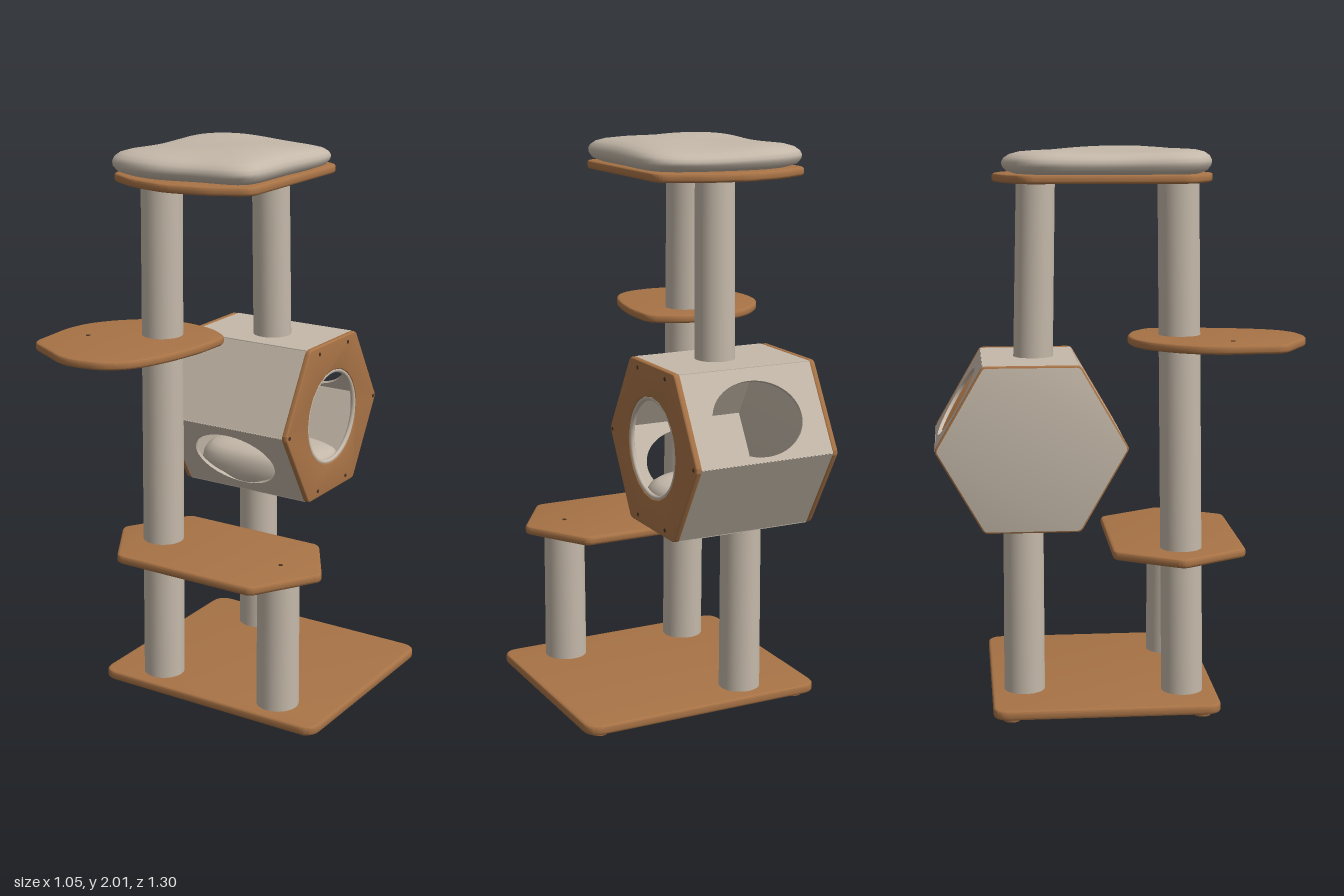
import * as THREE from 'three';
import { toCreasedNormals } from 'three/addons/utils/BufferGeometryUtils.js';

const wood = new THREE.MeshStandardMaterial({ color: 0xa87346 });
wood.name = 'warm wood';
const fabric = new THREE.MeshStandardMaterial({ color: 0xc4b8a9 });
fabric.name = 'beige plush';
const dark = new THREE.MeshStandardMaterial({ color: 0x4a3423 });
dark.name = 'dark screw';

function mesh(name, geometry, material, parent) {
  const m = new THREE.Mesh(geometry, material);
  m.name = name;
  parent.add(m);
  return m;
}

// Polygon with every corner rounded off by up to r
function roundedShape(points, r) {
  const p = points.map(([x, y]) => new THREE.Vector2(x, y));
  const shape = new THREE.Shape();
  p.forEach((c, i) => {
    const toward = (q) => c.clone().lerp(q, Math.min(0.48, r / c.distanceTo(q)));
    const a = toward(p[(i + p.length - 1) % p.length]);
    const b = toward(p[(i + 1) % p.length]);
    if (i === 0) shape.moveTo(a.x, a.y);
    else shape.lineTo(a.x, a.y);
    shape.quadraticCurveTo(c.x, c.y, b.x, b.y);
  });
  shape.closePath();
  return shape;
}

// Softly bevelled sheet of given thickness, from z = 0 upwards
function sheet(shape, thickness, bevel) {
  const geo = new THREE.ExtrudeGeometry(shape, {
    depth: thickness - 2 * bevel, bevelThickness: bevel, bevelSize: bevel,
    bevelOffset: -bevel, bevelSegments: 3, curveSegments: 10,
  });
  return geo.translate(0, 0, bevel);
}

// Horizontal board from an outline of [x, z] pairs
function board(name, outline, y, thickness, r, parent) {
  const geo = sheet(roundedShape(outline.map(([x, z]) => [x, -z]), r), thickness, 0.009);
  geo.rotateX(-Math.PI / 2).translate(0, y, 0);
  return mesh(name, toCreasedNormals(geo, 0.7), wood, parent);
}

// Upright post between two points, with slight lean
function post(name, from, to, r, parent) {
  const a = new THREE.Vector3(...from), b = new THREE.Vector3(...to);
  const dir = b.clone().sub(a);
  const m = mesh(name, new THREE.CylinderGeometry(r * 0.97, r, dir.length(), 32), fabric, parent);
  m.position.copy(a).add(b).multiplyScalar(0.5);
  m.quaternion.setFromUnitVectors(new THREE.Vector3(0, 1, 0), dir.normalize());
}

// Stuffed cushion: stacked rings of a smooth outline, with gentle lumps
function cushion(name, outline, y0, y1, parent) {
  const n = 64;
  const curve = new THREE.CatmullRomCurve3(outline.map(([x, z]) => new THREE.Vector3(x, 0, z)), true);
  const loop = curve.getSpacedPoints(n).slice(0, n);
  const mid = loop.reduce((s, p) => s.add(p), new THREE.Vector3()).divideScalar(n);
  const rings = [[0.001, 0], [0.86, 0], [0.96, 0.14], [0.995, 0.32], [1, 0.48], [0.98, 0.64],
    [0.93, 0.78], [0.84, 0.88], [0.68, 0.94], [0.45, 0.97], [0.2, 0.97], [0.001, 0.97]];
  const pos = [], index = [];
  rings.forEach(([s, h], i) => {
    for (let j = 0; j < n; j++) {
      const x = mid.x + (loop[j].x - mid.x) * s;
      const z = mid.z + (loop[j].z - mid.z) * s;
      const lump = h * (y1 - y0) * 0.09 * (Math.sin(9 * x + 1) * Math.cos(8 * z) + 2 * z);
      pos.push(x, y0 + h * (y1 - y0) + lump, z);
      if (i < rings.length - 1) {
        const k = (j + 1) % n, a = i * n + j, b = i * n + k;
        index.push(a, b, b + n, a, b + n, a + n);
      }
    }
  });
  const geo = new THREE.BufferGeometry();
  geo.setAttribute('position', new THREE.Float32BufferAttribute(pos, 3));
  geo.setIndex(index);
  geo.computeVertexNormals();
  return mesh(name, geo, fabric, parent);
}

// Hexagonal cabin lying along x, local origin at its centre
function buildCabin() {
  const g = new THREE.Group();
  g.name = 'hexagonCabin';
  const R = 0.338, apothem = R * Math.sqrt(3) / 2, t = 0.012;
  const x0 = -0.315, x1 = 0.19, midX = (x0 + x1) / 2;
  const hexagon = () => roundedShape(Array.from({ length: 6 }, (_, i) =>
    [R * Math.cos(i * Math.PI / 3), R * Math.sin(i * Math.PI / 3)]), 0.015);

  // Six wall panels; lower front and upper back have oval openings
  [-150, -90, -30, 30, 90, 150].forEach((deg) => {
    const w = (x1 - x0) / 2, s = R / 2;
    const shape = new THREE.Shape([[-w, -s], [w, -s], [w, s], [-w, s]].map((p) => new THREE.Vector2(...p)));
    if (deg === -30 || deg === 150) {
      const hole = new THREE.Path();
      hole.absellipse(0, deg === 150 ? 0.015 : 0, 0.17, deg === 150 ? 0.135 : 0.126, 0, Math.PI * 2, true);
      shape.holes.push(hole);
    }
    const geo = new THREE.ExtrudeGeometry(shape, { depth: t, bevelEnabled: false, curveSegments: 24 });
    geo.translate(midX, 0, apothem - t - 0.002).rotateX(-deg * Math.PI / 180);
    mesh('cabinWall', toCreasedNormals(geo, 0.6), fabric, g);
  });

  // Wooden entrance plate with round doorway, and padded end plate
  const front = hexagon();
  const door = new THREE.Path();
  door.absarc(0, 0, 0.18, 0, Math.PI * 2, true);
  front.holes.push(door);
  const frontGeo = sheet(front, 0.022, 0.005).rotateY(Math.PI / 2).translate(x1 - 0.002, 0, 0);
  mesh('entrancePlate', toCreasedNormals(frontGeo, 0.6), wood, g);
  const endGeo = sheet(hexagon(), 0.022, 0.006).rotateY(Math.PI / 2).translate(x0 - 0.02, 0, 0);
  mesh('endPlate', toCreasedNormals(endGeo, 0.6), [fabric, wood], g);
  const rim = mesh('doorwayTrim', new THREE.TorusGeometry(0.175, 0.009, 10, 48), fabric, g);
  rim.rotation.y = Math.PI / 2;
  rim.position.x = 0.2;

  // Plate screws
  [[0.265, 0.105], [0.265, -0.105], [-0.265, 0.105], [-0.265, -0.105], [0, 0.315], [0, -0.315]].forEach(([y, z]) => {
    const s = mesh('plateScrew', new THREE.CylinderGeometry(0.007, 0.007, 0.006, 10), dark, g);
    s.rotation.z = Math.PI / 2;
    s.position.set(0.209, y, z);
  });
  g.position.set(0, 0.972, -0.31);
  return g;
}

export function createModel() {
  const root = new THREE.Group();
  root.name = 'catTree';

  // Base and feet
  board('base', [[-0.39, -0.455], [0.52, -0.455], [0.52, 0.355], [-0.39, 0.355]], 0.018, 0.034, 0.06, root);
  [[-0.325, -0.39], [0.455, -0.39], [-0.325, 0.29], [0.455, 0.29], [0.065, -0.05]].forEach(([x, z]) => {
    mesh('foot', new THREE.CylinderGeometry(0.034, 0.03, 0.02, 20), wood, root).position.set(x, 0.01, z);
  });

  // Posts
  post('tallFrontPost', [-0.19, 0.045, 0.234], [-0.19, 1.89, 0.21], 0.075, root);
  post('shortFrontPost', [0.307, 0.045, 0.235], [0.307, 0.56, 0.235], 0.077, root);
  post('lowerBackPost', [-0.13, 0.045, -0.336], [-0.13, 0.69, -0.335], 0.074, root);
  post('upperBackPost', [-0.045, 1.255, -0.292], [-0.048, 1.89, -0.279], 0.071, root);

  // Platforms
  board('lowerPlatform', [[-0.383, 0.217], [-0.235, -0.02], [0.325, -0.02], [0.473, 0.217],
    [0.325, 0.458], [-0.235, 0.458]], 0.55, 0.032, 0.025, root);
  board('leafPlatform', [[-0.385, 0.08], [-0.46, 0.155], [-0.51, 0.235], [-0.53, 0.33], [-0.515, 0.54],
    [-0.4, 0.6], [-0.33, 0.64], [-0.26, 0.653], [-0.15, 0.635], [-0.08, 0.58], [-0.04, 0.5], [-0.01, 0.4],
    [0.012, 0.28], [0.016, 0.12], [-0.08, 0.055], [-0.2, 0.03], [-0.3, 0.04]], 1.322, 0.03, 0.04, root);
  board('topPlatform', [[-0.378, -0.335], [-0.25, -0.405], [-0.1, -0.437], [0.05, -0.41], [0.202, -0.335],
    [0.202, 0.245], [0.05, 0.32], [-0.1, 0.345], [-0.25, 0.315], [-0.378, 0.245]], 1.883, 0.03, 0.04, root);

  buildCabin();
  root.add(buildCabin());

  // Cushions
  cushion('topCushion', [[0.19, 0.24], [0.205, 0], [0.2, -0.28], [0.14, -0.345], [-0.2, -0.4], [-0.34, -0.345],
    [-0.385, -0.28], [-0.39, 0], [-0.385, 0.22], [-0.33, 0.29], [-0.18, 0.325], [0, 0.29], [0.14, 0.27]],
  1.911, 2.0, root);
  cushion('cabinCushion', [[0.16, -0.17], [0.175, -0.31], [0.16, -0.45], [-0.06, -0.505], [-0.28, -0.45],
    [-0.3, -0.31], [-0.28, -0.17], [-0.06, -0.115]], 0.695, 0.85, root);

  // Platform screws
  [[-0.4, 1.352, 0.375], [0.31, 0.582, 0.225]].forEach(([x, y, z]) => {
    mesh('platformScrew', new THREE.CylinderGeometry(0.008, 0.008, 0.004, 10), dark, root).position.set(x, y, z);
  });
  return root;
}
